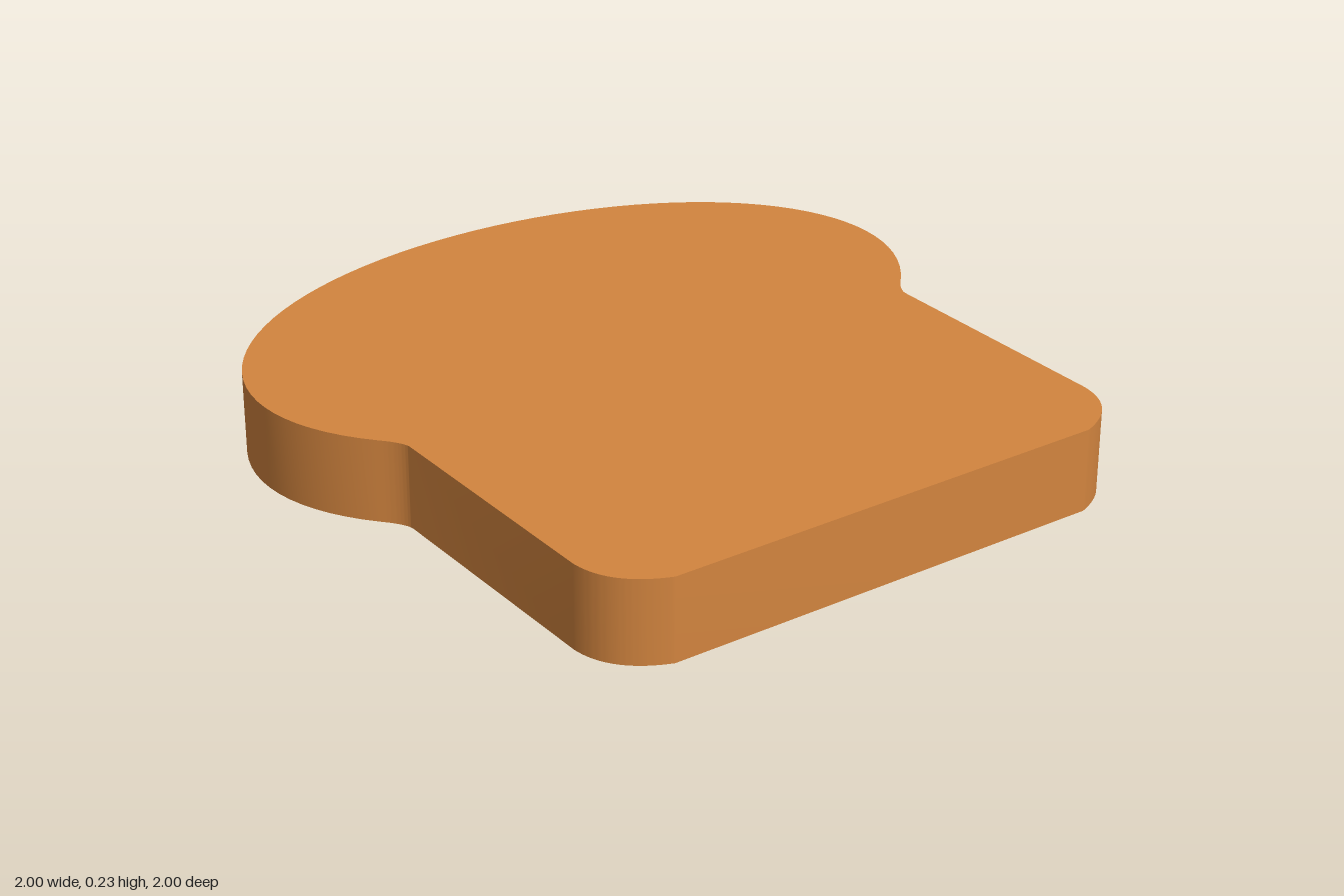
import * as THREE from 'three';
import { toCreasedNormals } from 'three/addons/utils/BufferGeometryUtils.js';

const THICKNESS = 0.235;

// Outline of the slice: rounded base, straight sides, wide elliptical crown
function sliceOutline() {
  const side = 0.81, baseHalf = 0.65;
  const crownY = 0.34, crownRx = 1, crownRy = 0.66;
  const start = -Math.asin(crownY / crownRy); // the crown meets the sides at y = 0
  const neckX = crownRx * Math.cos(start);

  const s = new THREE.Shape();
  s.moveTo(-baseHalf, -1);
  s.lineTo(baseHalf, -1);
  s.quadraticCurveTo(0.8, -0.945, side, -0.81);
  s.lineTo(side, -0.08);
  s.quadraticCurveTo(side, -0.05, neckX, 0);
  s.absellipse(0, crownY, crownRx, crownRy, start, Math.PI - start, false, 0);
  s.quadraticCurveTo(-side, -0.05, -side, -0.08);
  s.lineTo(-side, -0.81);
  s.quadraticCurveTo(-0.8, -0.945, -baseHalf, -1);
  return s;
}

export function createModel() {
  const group = new THREE.Group();
  group.name = 'breadSlice';

  // Lay the extruded outline flat, crown towards the back
  const geometry = new THREE.ExtrudeGeometry(sliceOutline(), {
    depth: THICKNESS, bevelEnabled: false, curveSegments: 32,
  });
  geometry.rotateX(-Math.PI / 2);

  const slice = new THREE.Mesh(
    toCreasedNormals(geometry, 0.5),
    new THREE.MeshStandardMaterial({ color: 0xd3853f })
  );
  slice.name = 'slice';
  group.add(slice);
  return group;
}
